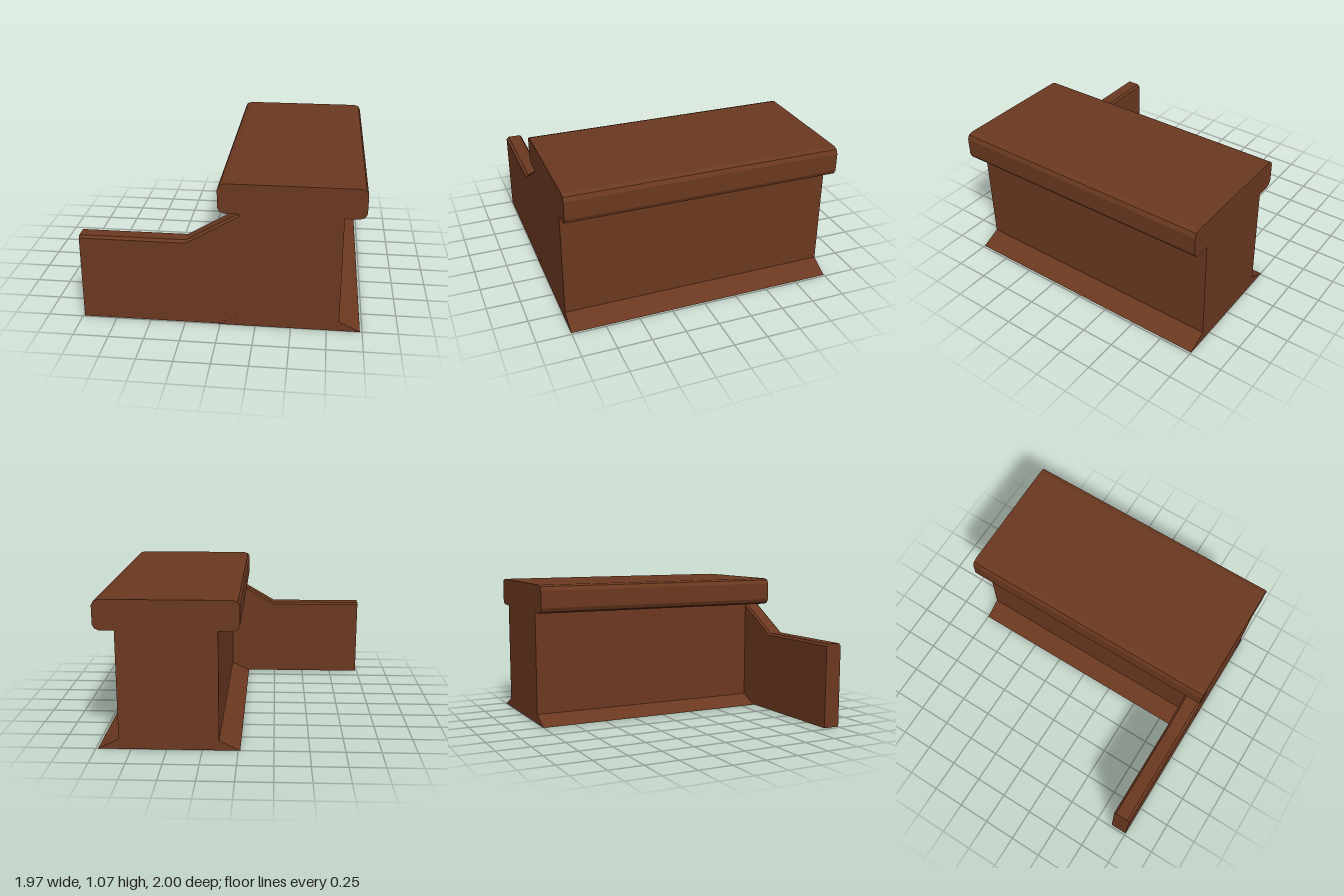
import * as THREE from 'three';

const wood = new THREE.MeshStandardMaterial({ color: 0x6b3820, flatShading: true });
const MID = 0.485; // centre line of the counter in x

// Mirrors a right-hand outline (bottom to top) and extrudes it along the full depth.
function symmetricBar(name, half) {
  const outline = [...half, ...half.map(([x, y]) => [-x, y]).reverse()];
  const shape = new THREE.Shape(outline.map(([x, y]) => new THREE.Vector2(x, y)));
  const geometry = new THREE.ExtrudeGeometry(shape, { depth: 2, bevelEnabled: false });
  const mesh = new THREE.Mesh(geometry, wood);
  mesh.name = name;
  mesh.position.set(MID, 0, -1);
  return mesh;
}

// Lofts a closed cross-section through several stations and caps both ends.
function loft(name, sections) {
  const n = sections[0].length;
  const index = [];
  for (let s = 0; s < sections.length - 1; s++) {
    for (let i = 0; i < n; i++) {
      const a = s * n + i, b = s * n + (i + 1) % n;
      index.push(a, b, b + n, a, b + n, a + n);
    }
  }
  const last = (sections.length - 1) * n;
  for (let i = 1; i < n - 1; i++) {
    index.push(0, i + 1, i, last, last + i, last + i + 1);
  }
  const indexed = new THREE.BufferGeometry();
  indexed.setAttribute('position', new THREE.Float32BufferAttribute(sections.flat(2), 3));
  indexed.setIndex(index);
  const geometry = indexed.toNonIndexed();
  geometry.computeVertexNormals();
  const mesh = new THREE.Mesh(geometry, wood);
  mesh.name = name;
  return mesh;
}

export function createModel() {
  const group = new THREE.Group();
  group.name = 'counter';

  // Counter body with a flared skirting at the floor
  group.add(symmetricBar('counterBody', [[0.5, 0], [0.352, 0.072], [0.352, 0.857]]));

  // Overhanging top slab with softened long edges
  group.add(symmetricBar('counterTop', [
    [0.45, 0.857], [0.485, 0.87], [0.5, 0.9],
    [0.5, 1.03], [0.485, 1.06], [0.45, 1.072],
  ]));

  // Low side wall that slopes up to meet the counter, its top edges chamfered
  const stations = [[-0.985, 0.64], [-0.235, 0.64], [0.135, 0.857]];
  group.add(loft('sideWall', stations.map(([x, top]) => [
    [x, 0.004, 0.87], [x, 0.004, 0.999], [x, top - 0.017, 0.999],
    [x, top, 0.98], [x, top, 0.885], [x, top - 0.017, 0.87],
  ].reverse())));

  return group;
}
